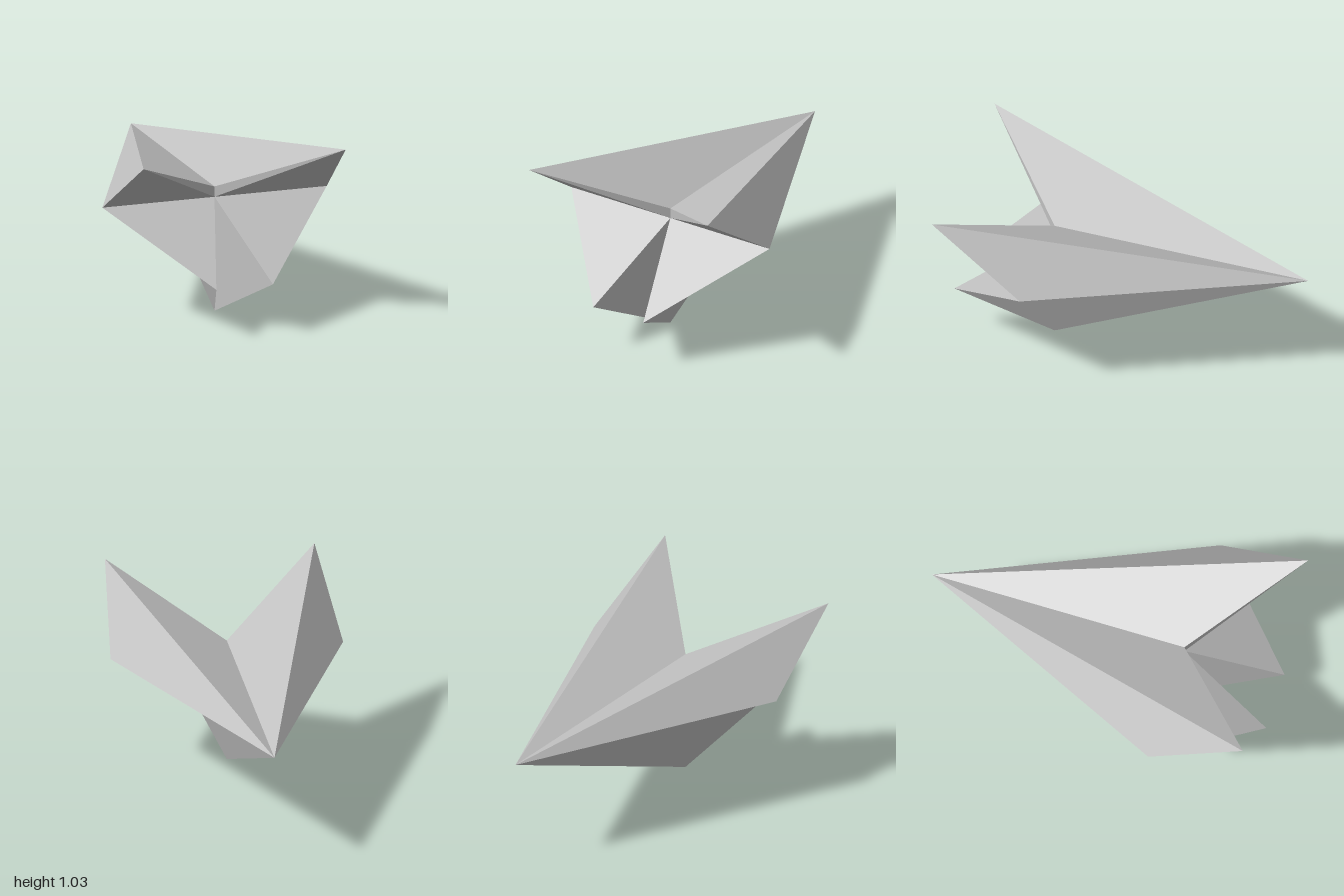
import * as THREE from 'three';

const gray = new THREE.MeshStandardMaterial({ color: 0xc0c0c0 });
gray.name = 'lightGray';

// Corners shared by the panels (left half, mirrored for the right)
const nose = [0, 0.66, -1];
const hub = [0, 0.66, 0.47];
const ridge = [0, 0.72, 0.47];
const wingTip = [0.59, 1.03, 1];
const shoulder = [0.655, 0.66, 0.47];
const finTip = [0.165, 0.29, 1];
const keel = [0, 0, 0.47];

// Triangular panels; side = -1 mirrors x and swaps corners to keep faces outward
function panels(name, triangles, side) {
  const positions = triangles.flatMap(([a, b, c]) =>
    (side > 0 ? [a, b, c] : [a, c, b]).flatMap(([x, y, z]) => [x * side, y, z]));
  const geometry = new THREE.BufferGeometry();
  geometry.setAttribute('position', new THREE.Float32BufferAttribute(positions, 3));
  geometry.computeVertexNormals();
  const mesh = new THREE.Mesh(geometry, gray);
  mesh.name = name;
  return mesh;
}

export function createModel() {
  const model = new THREE.Group();
  model.name = 'dartGlider';
  for (const [label, side] of [['left', 1], ['right', -1]]) {
    // Skin running from the nose to the rim of the open end
    const rim = [ridge, wingTip, shoulder, finTip, keel];
    const names = ['WingTop', 'WingOuter', 'BodySide', 'KeelSide'];
    names.forEach((name, i) => {
      model.add(panels(label + name, [[nose, rim[i], rim[i + 1]]], side));
    });
    // Folded end faces meeting at the hub
    const ends = names.map((_, i) => [hub, rim[i + 1], rim[i]]);
    model.add(panels(label + 'EndFolds', ends, side));
  }
  return model;
}
